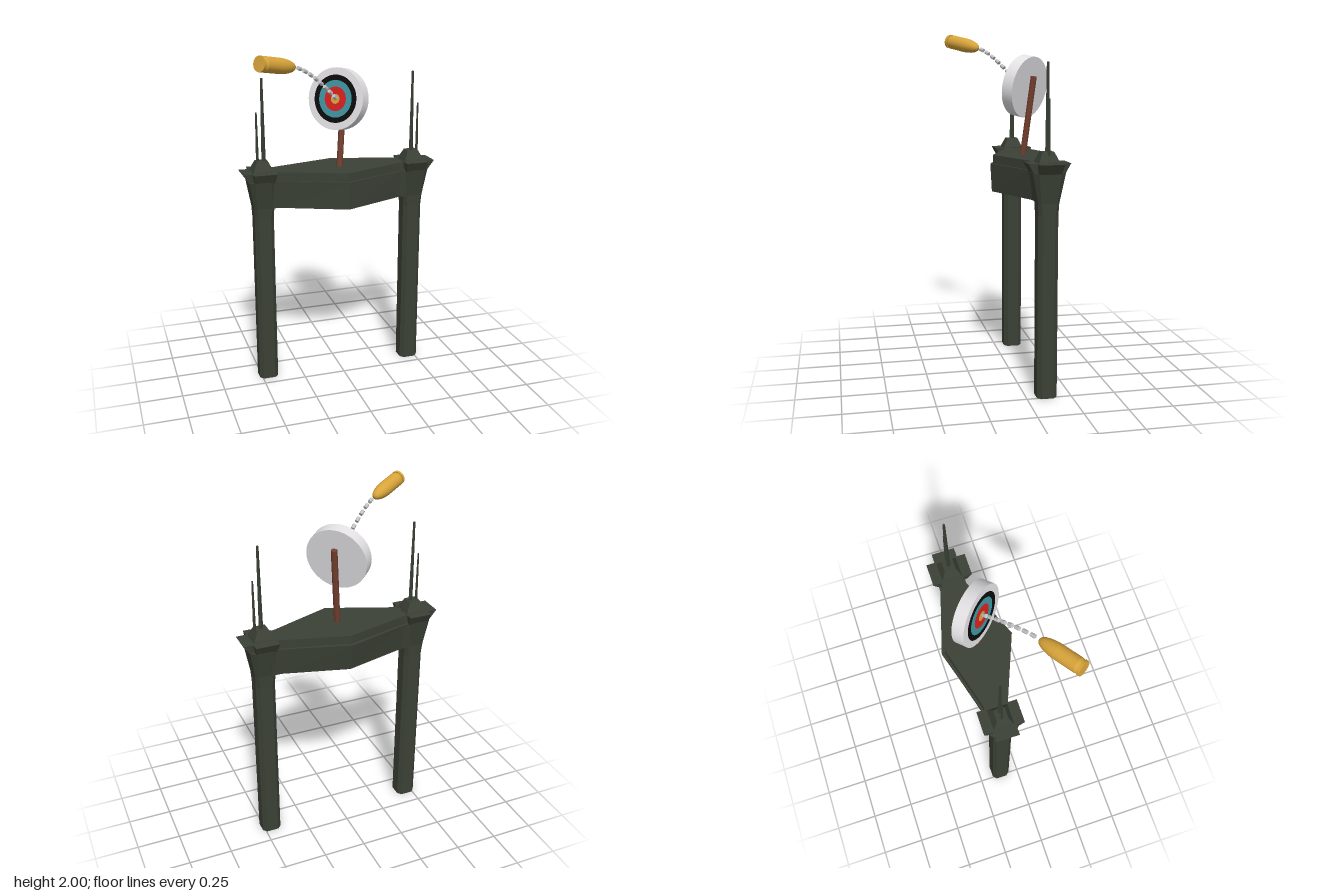
import * as THREE from 'three';

const mat = (name, color, side = THREE.FrontSide) => {
  const m = new THREE.MeshStandardMaterial({ color, side });
  m.name = name;
  return m;
};

// Flat-faced loft through rings of [x, z] points, each at its own height
function loft(levels, capBottom = true, capTop = true) {
  const pos = [];
  const tri = (...p) => p.forEach((v) => pos.push(...v));
  const rings = levels.map(([y, pts]) => pts.map(([x, z]) => [x, y, z]));
  const n = rings[0].length;
  const middle = (r) => [0, 1, 2].map((k) => r.reduce((s, p) => s + p[k], 0) / n);
  for (let l = 0; l < rings.length - 1; l++) {
    for (let i = 0; i < n; i++) {
      const j = (i + 1) % n, lo = rings[l], up = rings[l + 1];
      tri(lo[i], up[i], lo[j]);
      tri(up[i], up[j], lo[j]);
    }
  }
  const bottom = rings[0], top = rings[rings.length - 1];
  for (let i = 0; i < n; i++) {
    const j = (i + 1) % n;
    if (capBottom) tri(middle(bottom), bottom[i], bottom[j]);
    if (capTop) tri(middle(top), top[j], top[i]);
  }
  const g = new THREE.BufferGeometry();
  g.setAttribute('position', new THREE.Float32BufferAttribute(pos, 3));
  g.computeVertexNormals();
  return g;
}

const ZC = -0.113; // depth of the gate's centre line

// Rectangle mirrored to side s, with half depth h
const rect = (s, xa, xb, h) => {
  const x0 = Math.min(s * xa, s * xb), x1 = Math.max(s * xa, s * xb);
  return [[x1, ZC - h], [x1, ZC + h], [x0, ZC + h], [x0, ZC - h]];
};
// The same with cut corners
const octagon = (s, xa, xb, h, c) => {
  const x0 = Math.min(s * xa, s * xb), x1 = Math.max(s * xa, s * xb);
  const z0 = ZC - h, z1 = ZC + h;
  return [[x1, z0 + c], [x1, z1 - c], [x1 - c, z1], [x0 + c, z1],
    [x0, z1 - c], [x0, z0 + c], [x0 + c, z0], [x1 - c, z0]];
};

export function createModel() {
  const model = new THREE.Group();
  model.name = 'targetGate';
  const green = mat('darkGreen', 0x3b4136);
  const greenOpen = mat('darkGreenOpen', 0x3b4136, THREE.DoubleSide);
  const brown = mat('rustBrown', 0x74402f);
  const white = mat('white', 0xe3e1e4);
  const black = mat('black', 0x0b0b0b);
  const teal = mat('teal', 0x3f95a0);
  const red = mat('red', 0xd8201f);
  const gold = mat('gold', 0xd8a43a);
  const grey = mat('lightGrey', 0xc4c4c6);
  const add = (parent, name, geometry, material) => {
    const m = new THREE.Mesh(geometry, material);
    m.name = name;
    parent.add(m);
    return m;
  };

  // Beam with a pointed middle in plan
  const beamRing = (front, back, endFront, endBack) => [
    [0.43, endBack], [0.43, endFront], [0.37, endFront], [0, front],
    [-0.37, endFront], [-0.43, endFront], [-0.43, endBack], [-0.37, endBack],
    [0, back], [0.37, endBack]];
  add(model, 'beam', loft([
    [1.087, beamRing(0.1, -0.275, -0.055, -0.175)],
    [1.25, beamRing(0.109, -0.303, -0.04, -0.196)],
    [1.25, beamRing(0.094, -0.283, -0.053, -0.183)],
    [1.3, beamRing(0.094, -0.283, -0.053, -0.183)],
  ]), green);

  // Towers: pillar, crossed flanges, pyramid and aerials
  for (const s of [-1, 1]) {
    const tower = new THREE.Group();
    tower.name = s > 0 ? 'leftTower' : 'rightTower';
    model.add(tower);
    add(tower, 'pillar', loft([
      [0, octagon(s, 0.403, 0.516, 0.056, 0.022)],
      [1.02, octagon(s, 0.403, 0.516, 0.056, 0.022)],
      [1.087, octagon(s, 0.401, 0.518, 0.058, 0.014)],
      [1.25, octagon(s, 0.39, 0.546, 0.09, 0.03)],
    ], false, true), greenOpen);
    add(tower, 'sideFlange', loft([
      [1.245, rect(s, 0.39, 0.545, 0.06)], [1.3, rect(s, 0.385, 0.583, 0.067)],
    ]), green);
    add(tower, 'crossFlange', loft([
      [1.245, rect(s, 0.4, 0.52, 0.085)], [1.302, rect(s, 0.392, 0.527, 0.115)],
    ]), green);
    add(tower, 'pyramid', loft([
      [1.3, rect(s, 0.4, 0.519, 0.058)], [1.31, rect(s, 0.403, 0.516, 0.055)],
      [1.36, rect(s, 0.427, 0.492, 0.032)],
    ]), green);
    const aerials = [
      ['tallAerial', s > 0 ? 0.46 : -0.446, 1.83, 0.007, 0.013],
      ['shortAerial', s > 0 ? 0.496 : -0.482, 1.64, 0.005, 0.009]];
    for (const [name, x, top, r1, r0] of aerials) {
      const g = new THREE.CylinderGeometry(r1, r0, top - 1.32, 4).toNonIndexed();
      g.computeVertexNormals();
      add(tower, name, g, green).position.set(x, (top + 1.32) / 2, -0.115);
    }
  }

  // Lay a mesh built along +y between two points
  const up = new THREE.Vector3(0, 1, 0);
  const aim = (obj, dir) => obj.quaternion.setFromUnitVectors(up, dir.clone().normalize());

  // Leaning post behind the target
  const foot = new THREE.Vector3(-0.002, 1.28, -0.083), head = new THREE.Vector3(0.042, 1.75, -0.138);
  const lean = head.clone().sub(foot);
  const post = add(model, 'post', new THREE.CylinderGeometry(0.018, 0.018, lean.length(), 10), brown);
  post.position.copy(foot).add(head).multiplyScalar(0.5);
  aim(post, lean);

  // Target disc with rings on its face
  const target = new THREE.Group();
  target.name = 'target';
  target.position.set(-0.003, 1.693, -0.097);
  aim(target, new THREE.Vector3(-0.72, 0.17, 0.67));
  model.add(target);
  const R = 0.177, T = 0.07;
  add(target, 'disc', new THREE.CylinderGeometry(R, R, T, 48), white);
  const rings = [['blackRing', 0.77, 0.6, black], ['tealRing', 0.6, 0.39, teal],
    ['redRing', 0.39, 0.16, red], ['bullseye', 0.16, 0, gold]];
  for (const [name, outer, inner, m] of rings) {
    const g = inner ? new THREE.RingGeometry(R * inner, R * outer, 48) : new THREE.CircleGeometry(R * outer, 32);
    g.rotateX(-Math.PI / 2);
    add(target, name, g, m).position.y = T / 2 + 0.0015;
  }

  // Bullet: grooved base, straight body, rounded nose
  const tail = new THREE.Vector3(-0.536, 1.961, 0.264), tip = new THREE.Vector3(-0.316, 1.915, 0.124);
  const L = tip.distanceTo(tail);
  const nose = [[0.042, 0.58], [0.0405, 0.68], [0.036, 0.79], [0.029, 0.89], [0.02, 0.96], [0.01, 0.99], [0, 1]];
  const bullet = new THREE.Group();
  bullet.name = 'bullet';
  bullet.position.copy(tail);
  aim(bullet, tip.clone().sub(tail));
  model.add(bullet);
  const lathe = (name, pts) => add(bullet, name,
    new THREE.LatheGeometry(pts.map(([r, t]) => new THREE.Vector2(r, t * L)), 32), gold);
  lathe('bulletNose', nose);
  add(bullet, 'bulletBody', new THREE.CylinderGeometry(0.042, 0.042, L * 0.46, 32), gold).position.y = L * 0.35;
  add(bullet, 'bulletGroove', new THREE.CylinderGeometry(0.042, 0.036, L * 0.06, 32), gold).position.y = L * 0.09;
  add(bullet, 'bulletRim', new THREE.CylinderGeometry(0.042, 0.042, L * 0.06, 32), gold).position.y = L * 0.03;

  // Dashed flight path
  const path = new THREE.QuadraticBezierCurve3(
    new THREE.Vector3(-0.305, 1.912, 0.118),
    new THREE.Vector3(-0.21, 1.887, 0.056),
    new THREE.Vector3(-0.02, 1.695, -0.07));
  const dashes = 8;
  for (let i = 0; i < dashes; i++) {
    const u = (i + 0.5) / dashes;
    const dash = add(model, 'pathDash', new THREE.CylinderGeometry(0.011, 0.011, 0.028, 10), grey);
    dash.position.copy(path.getPointAt(u));
    aim(dash, path.getTangentAt(u));
  }
  return model;
}
